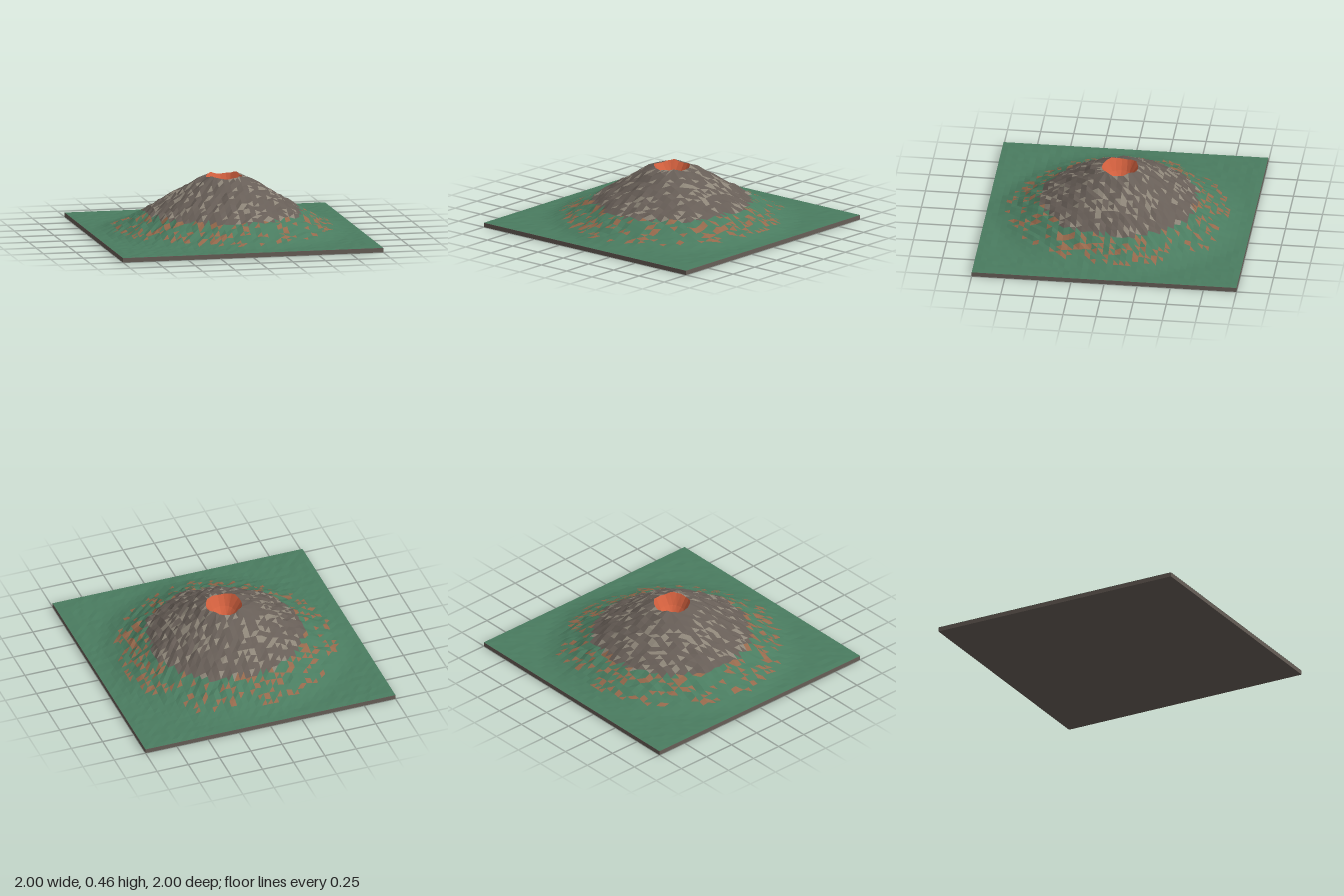
import * as THREE from 'three';

const N = 44, HALF = N / 2, CELL = 2 / N;
const CRATER_RING = 3, CRATER_RADIUS = 0.137;
const BASE = 0.034;

const COLORS = {
  grass: 0x4a7c60, dirt: 0x96694c, rock: 0x675e57, paleRock: 0x8d8578, lava: 0xd2603e,
};

// Height of the slope against distance from the axis
const PROFILE = [
  [0.13, 0.452], [0.2, 0.425], [0.3, 0.365], [0.4, 0.303], [0.5, 0.243], [0.6, 0.18],
  [0.7, 0.122], [0.8, 0.075], [0.9, 0.045], [0.98, BASE], [2, BASE],
];
const BOWL = [0.3, 0.315, 0.37];

function slopeHeight(r) {
  if (r <= PROFILE[0][0]) return PROFILE[0][1];
  const k = PROFILE.findIndex(p => p[0] >= r);
  const [r0, y0] = PROFILE[k - 1], [r1, y1] = PROFILE[k];
  return THREE.MathUtils.lerp(y0, y1, (r - r0) / (r1 - r0));
}

// Repeatable random number in 0..1 for a grid position
function hash(i, j, seed) {
  const s = Math.sin(i * 127.1 + j * 311.7 + seed * 74.7) * 43758.5453;
  return s - Math.floor(s);
}

function terrainPoint(i, j) {
  const ring = Math.max(Math.abs(i), Math.abs(j));
  let x = i * CELL, z = j * CELL;
  const angle = Math.atan2(z, x);
  const noise = hash(i, j, 1) - 0.5;
  // Square rings around the axis become round ones, forming the crater
  if (ring <= CRATER_RING) {
    const r = CRATER_RADIUS * ring / CRATER_RING;
    x = r * Math.cos(angle);
    z = r * Math.sin(angle);
    const rim = 0.45 - 0.01 * Math.cos(4 * angle) + 0.014 * noise;
    return new THREE.Vector3(x, ring < CRATER_RING ? BOWL[ring] : rim, z);
  }
  const r = Math.hypot(x, z);
  const warped = r * (1 + 0.012 * Math.sin(3 * angle + 1) + 0.01 * Math.sin(7 * angle));
  let y = slopeHeight(warped);
  if (ring < HALF) {
    const rough = THREE.MathUtils.clamp((y - BASE) * 0.25, 0.005, 0.022);
    y = Math.max(y + rough * noise, BASE + 0.005 * hash(i, j, 2));
  }
  return new THREE.Vector3(x, y, z);
}

// Ground cover of one triangle, chosen by height with scattered patches
function coverOf(y, r, i, j, t) {
  const chance = hash(i, j, 5 + t);
  if (y > 0.185) return chance < 0.2 ? 'paleRock' : 'rock';
  if (y > 0.065 && r < 0.9) {
    const patch = hash(Math.floor(i / 3), Math.floor(j / 3), 9);
    return chance < 0.1 + 0.3 * patch ? 'dirt' : 'grass';
  }
  return 'grass';
}

export function createModel() {
  const group = new THREE.Group();
  group.name = 'volcano';

  // Sort the grid triangles by ground cover
  const faces = { grass: [], dirt: [], rock: [], paleRock: [], lava: [] };
  for (let j = -HALF; j < HALF; j++) {
    for (let i = -HALF; i < HALF; i++) {
      const a = terrainPoint(i, j), b = terrainPoint(i + 1, j);
      const c = terrainPoint(i + 1, j + 1), d = terrainPoint(i, j + 1);
      const inCrater = i >= -CRATER_RING && i < CRATER_RING && j >= -CRATER_RING && j < CRATER_RING;
      // Inside the crater the diagonals run towards the axis
      const alongAC = inCrater && (i < 0) === (j < 0);
      const triangles = alongAC ? [[a, d, c], [a, c, b]] : [[a, d, b], [d, c, b]];
      triangles.forEach((tri, t) => {
        const mid = new THREE.Vector3().add(tri[0]).add(tri[1]).add(tri[2]).divideScalar(3);
        const cover = inCrater ? 'lava' : coverOf(mid.y, Math.hypot(mid.x, mid.z), i, j, t);
        faces[cover].push(...tri);
      });
    }
  }

  // One mesh per ground cover
  for (const [name, points] of Object.entries(faces)) {
    const geometry = new THREE.BufferGeometry().setFromPoints(points);
    geometry.computeVertexNormals();
    const material = new THREE.MeshStandardMaterial({
      color: COLORS[name], flatShading: true, side: THREE.DoubleSide,
    });
    const mesh = new THREE.Mesh(geometry, material);
    mesh.name = name;
    group.add(mesh);
  }

  // Slab under the terrain
  const slab = new THREE.Mesh(
    new THREE.BoxGeometry(2, BASE - 0.001, 2),
    new THREE.MeshStandardMaterial({ color: COLORS.rock, flatShading: true }),
  );
  slab.name = 'baseSlab';
  slab.position.y = (BASE - 0.001) / 2;
  group.add(slab);

  return group;
}
